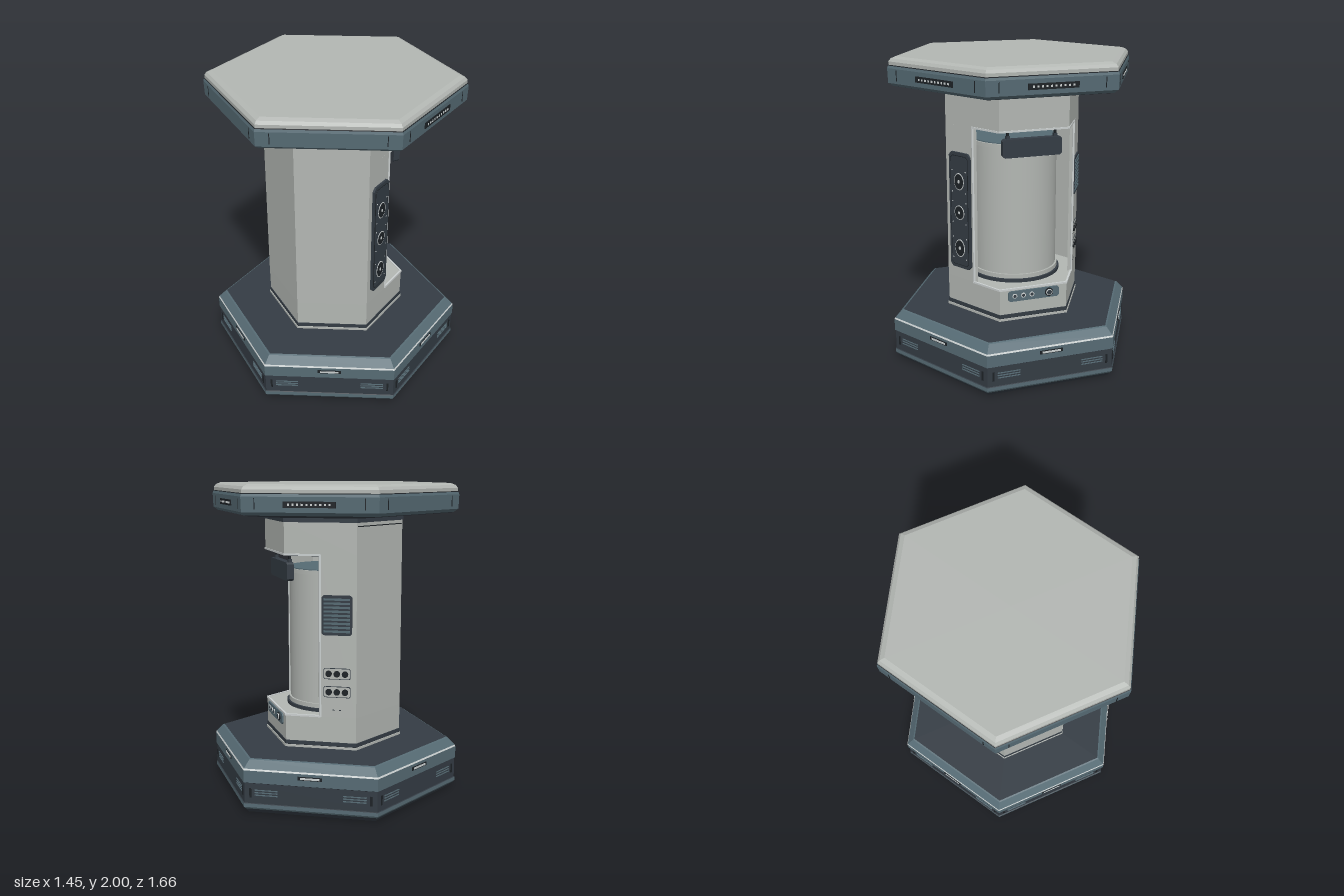
import * as THREE from 'three';

const mat = (name, color) => {
  const m = new THREE.MeshStandardMaterial({ color });
  m.name = name;
  return m;
};
const C30 = Math.cos(Math.PI / 6);

export function createModel() {
  const light = mat('light grey', 0xb3b7b3);
  const teal = mat('slate teal', 0x566b74);
  const dark = mat('dark slate', 0x343c44);
  const black = mat('near black', 0x1d2226);
  const pale = mat('pale trim', 0xcbd0d0);
  const root = new THREE.Group();

  const add = (parent, name, geo, m, x = 0, y = 0, z = 0) => {
    const mesh = new THREE.Mesh(geo, m);
    mesh.name = name;
    mesh.position.set(x, y, z);
    parent.add(mesh);
    return mesh;
  };
  const box = (parent, name, m, w, h, d, x, y, z) =>
    add(parent, name, new THREE.BoxGeometry(w, h, d), m, x, y, z);

  // Hexagonal ring or solid from a profile of [apothem, y], corners on the z axis
  const hex = (name, m, profile) => {
    const pts = profile.map(([a, y]) => new THREE.Vector2(a / C30, y));
    const g = new THREE.LatheGeometry(pts, 6).toNonIndexed();
    g.computeVertexNormals();
    return add(root, name, g, m);
  };
  // Group on a side face: local z points outward, local x to the viewer's right
  const face = (name, k, apothem) => {
    const holder = new THREE.Group();
    holder.name = name;
    holder.rotation.y = Math.PI / 6 + k * Math.PI / 3;
    root.add(holder);
    const g = new THREE.Group();
    g.position.z = apothem;
    holder.add(g);
    return g;
  };
  // Plate with cut corners, front at z = depth
  const plate = (w, h, c, depth) => {
    const a = w / 2, b = h / 2;
    const s = new THREE.Shape([[-a + c, -b], [a - c, -b], [a, -b + c], [a, b - c],
      [a - c, b], [-a + c, b], [-a, b - c], [-a, -b + c]].map(p => new THREE.Vector2(...p)));
    return new THREE.ExtrudeGeometry(s, { depth, bevelEnabled: false });
  };
  const disc = (r, d) => new THREE.CylinderGeometry(r, r, d, 24).rotateX(Math.PI / 2);

  // Plinth
  hex('plinthUnderside', dark, [[0, 0], [0.685, 0], [0.712, 0.03]]);
  hex('plinthLowerBand', teal, [[0.712, 0.03], [0.72, 0.042], [0.72, 0.065]]);
  hex('plinthPanel', dark, [[0.72, 0.065], [0.715, 0.068], [0.715, 0.197], [0.72, 0.2]]);
  hex('plinthUpperBand', teal, [[0.72, 0.2], [0.72, 0.278]]);
  hex('plinthEdgeLine', pale, [[0.72, 0.278], [0.715, 0.288]]);
  hex('plinthChamfer', teal, [[0.715, 0.288], [0.675, 0.335], [0.665, 0.34]]);
  hex('plinthTop', dark, [[0.665, 0.34], [0, 0.34]]);
  for (let k = 0; k < 6; k++) {
    const f = face('plinthDetails', k, 0.72);
    box(f, 'handleSlot', black, 0.15, 0.022, 0.006, 0, 0.25, 0.001);
    box(f, 'handle', pale, 0.12, 0.012, 0.008, 0, 0.25, 0.003);
    for (const s of [-1, 1]) {
      box(f, 'panelEnd', black, 0.012, 0.06, 0.006, s * 0.375, 0.135, -0.003);
      for (let i = 0; i < 3; i++)
        box(f, 'louvre', teal, 0.145, 0.006, 0.006, s * 0.275, 0.122 + i * 0.016, -0.004);
    }
  }

  // Canopy
  hex('canopyUnderside', dark, [[0, 1.795], [0.42, 1.795], [0.655, 1.815], [0.675, 1.82]]);
  hex('canopyRim', teal, [[0.675, 1.82], [0.7, 1.84], [0.703, 1.93], [0.698, 1.945]]);
  hex('canopySeam', black, [[0.698, 1.945], [0.69, 1.95]]);
  hex('canopyTop', light, [[0.695, 1.95], [0.695, 1.97], [0.682, 1.988], [0.655, 2], [0, 2]]);
  for (let k = 0; k < 6; k++) {
    const f = face('canopyDetails', k, 0.702);
    for (const s of [-1, 1]) box(f, 'rimSeam', black, 0.005, 0.065, 0.004, s * 0.325, 1.89, 0);
    if (k > 2) continue;
    box(f, 'rimSlot', black, 0.31, 0.036, 0.008, 0, 1.886, 0.001);
    for (let i = 0; i < 10; i++)
      box(f, 'rimLight', pale, 0.012, 0.012, 0.008, -0.122 + i * 0.027, 1.886, 0.003);
  }

  // Column: solid ends and an open shell around the drum
  hex('columnFoot', light, [[0.4, 0.34], [0.4, 0.355], [0.39, 0.355]]);
  hex('columnFootBand', dark, [[0.394, 0.355], [0.396, 0.357], [0.396, 0.382], [0.39, 0.382]]);
  hex('columnLower', light, [[0.392, 0.382], [0.394, 0.55], [0, 0.55]]);
  hex('columnUpper', light, [[0, 1.57], [0.394, 1.57], [0.394, 1.77]]);
  hex('columnNeck', dark, [[0.4, 1.768], [0.4, 1.8]]);
  const half = [[0.2, 0.34], [0, 0.455], [-0.394, 0.2275]];
  const inner = [[-0.37, 0.213], [0, 0.427], [0.2, 0.312]];
  const flip = a => a.map(([x, z]) => [x, -z]).reverse();
  const outline = [...half, ...flip(half), ...flip(inner), ...inner];
  const shell = new THREE.ExtrudeGeometry(
    new THREE.Shape(outline.map(p => new THREE.Vector2(...p))), { depth: 1.02, bevelEnabled: false });
  add(root, 'columnShell', shell.rotateX(-Math.PI / 2), light, 0, 0.55, 0);
  for (const k of [3, 4, 5]) {
    const f = face('columnSeams', k, 0.394);
    box(f, 'panelSeam', black, 0.44, 0.006, 0.004, 0, 1.745, 0);
  }

  // Trim around the alcove opening
  const bar = (a, b) => {
    const A = new THREE.Vector3(...a), B = new THREE.Vector3(...b);
    const m = box(root, 'alcoveTrim', pale, 0.012, 0.012, A.distanceTo(B) + 0.008, 0, 0, 0);
    m.position.copy(A).lerp(B, 0.5);
    m.lookAt(B);
  };
  for (const y of [0.55, 1.57]) {
    const p = [[0.2, y, 0.338], [0.392, y, 0.227], [0.392, y, -0.227], [0.2, y, -0.338]];
    for (let i = 0; i < 3; i++) bar(p[i], p[i + 1]);
  }
  for (const s of [-1, 1]) bar([0.2, 0.55, s * 0.338], [0.2, 1.57, s * 0.338]);
  const ceiling = new THREE.CylinderGeometry(0.42, 0.42, 0.008, 6);
  add(root, 'alcoveCeiling', ceiling, dark, 0, 1.563, 0);

  // Drum with collars
  const ring = (name, m, r, y0, y1) =>
    add(root, name, new THREE.CylinderGeometry(r, r, y1 - y0, 48), m, 0, (y0 + y1) / 2, 0);
  ring('drumBase', dark, 0.305, 0.55, 0.572);
  ring('drumBaseRing', light, 0.292, 0.572, 0.6);
  ring('drum', light, 0.28, 0.6, 1.44);
  ring('drumCollar', light, 0.295, 1.435, 1.46);
  ring('drumLid', teal, 0.283, 1.46, 1.466);

  // Lamp hanging in the opening
  const lamp = new THREE.Group();
  lamp.name = 'lamp';
  root.add(lamp);
  const lampBody = plate(0.385, 0.115, 0.012, 0.044).rotateY(Math.PI / 2);
  add(lamp, 'lampBody', lampBody, dark, 0.322, 1.456, 0);
  box(lamp, 'lampLens', pale, 0.025, 0.006, 0.3, 0.344, 1.398, 0);
  for (const s of [-1, 1]) {
    box(lamp, 'lampHanger', black, 0.014, 0.07, 0.014, 0.338, 1.54, s * 0.155);
    box(lamp, 'lampClip', dark, 0.022, 0.025, 0.022, 0.338, 1.52, s * 0.155);
  }

  // Speaker panel
  const sp = face('speakerPanel', 0, 0.394);
  add(sp, 'speakerPlate', plate(0.18, 0.77, 0.022, 0.014), dark, -0.1, 1.013, 0);
  add(sp, 'speakerInset', plate(0.15, 0.73, 0.018, 0.003), black, -0.1, 1.013, 0.0135);
  add(sp, 'speakerFace', plate(0.142, 0.722, 0.016, 0.003), dark, -0.1, 1.013, 0.0145);
  for (const [y, h] of [[1.21, 0.056], [1.005, 0.048], [0.765, 0.06]]) {
    const cone = add(sp, 'speakerCone', disc(0.9, 0.004), black, -0.1, y, 0.018);
    const rim = add(sp, 'speakerRing', new THREE.TorusGeometry(0.93, 0.07, 6, 32), pale, -0.1, y, 0.018);
    const hub = add(sp, 'speakerHub', disc(0.2, 0.004), pale, -0.1, y, 0.0205);
    cone.scale.set(0.043, h, 1);
    hub.scale.copy(cone.scale);
    rim.scale.set(0.043, h, 0.04);
    for (const s of [-1, 1]) for (const t of [-1, 1])
      add(sp, 'speakerScrew', disc(0.004, 0.003), pale, -0.1 + s * 0.058, y + t * 0.07, 0.018);
  }

  // Vent grille and switches
  const vent = face('servicePanel', 2, 0.394);
  add(vent, 'ventFrame', plate(0.19, 0.25, 0.012, 0.01), dark, 0.105, 1.2, 0);
  for (let i = 0; i < 9; i++)
    box(vent, 'ventSlat', teal, 0.166, 0.013, 0.009, 0.105, 1.1 + i * 0.025, 0.01);
  for (const y of [0.83, 0.713]) {
    add(vent, 'switchBorder', plate(0.172, 0.072, 0.008, 0.003), dark, 0.105, y, 0);
    add(vent, 'switchPlate', plate(0.164, 0.064, 0.007, 0.004), light, 0.105, y, 0);
    for (let i = -1; i < 2; i++)
      add(vent, 'switchKnob', disc(0.02, 0.014), black, 0.105 + i * 0.052, y, 0.006);
  }
  for (const s of [-1, 1]) box(vent, 'statusMark', dark, 0.014, 0.005, 0.004, 0.105 + s * 0.02, 0.595, 0);

  // Control strip below the opening
  const ctl = face('controlStrip', 1, 0.394);
  add(ctl, 'controlPlate', plate(0.345, 0.07, 0.012, 0.009), teal, 0, 0.503, 0);
  for (const x of [-0.13, -0.072, -0.015]) {
    add(ctl, 'buttonRing', disc(0.016, 0.006), pale, x, 0.505, 0.01);
    add(ctl, 'button', disc(0.01, 0.008), dark, x, 0.505, 0.011);
  }
  add(ctl, 'dialRing', disc(0.028, 0.008), black, 0.102, 0.505, 0.011);
  add(ctl, 'dial', disc(0.021, 0.016), pale, 0.102, 0.505, 0.012);
  add(ctl, 'dialCap', disc(0.016, 0.018), dark, 0.102, 0.505, 0.0125);
  return root;
}
